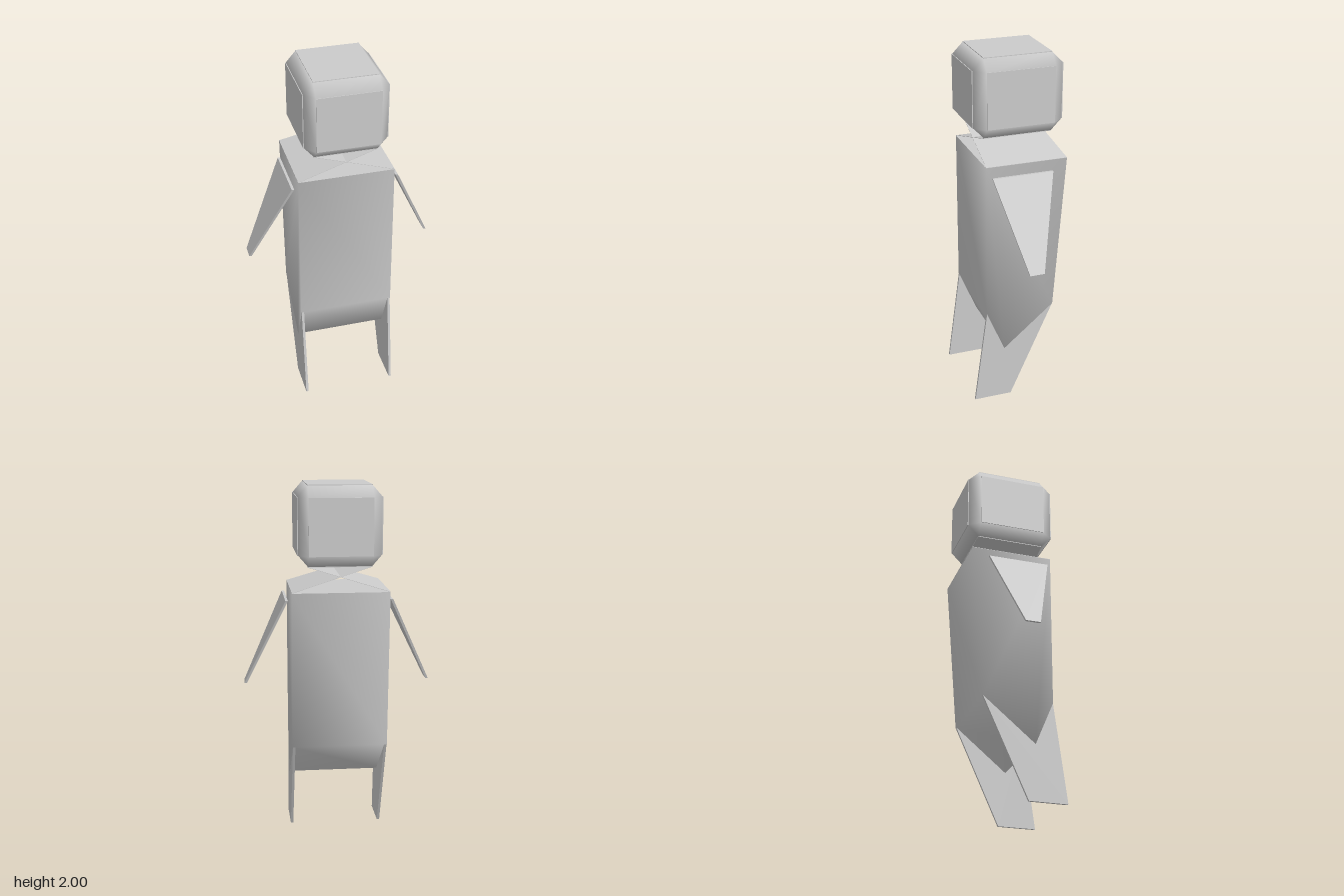
import * as THREE from 'three';
import { ConvexGeometry } from 'three/addons/geometries/ConvexGeometry.js';
import { mergeVertices } from 'three/addons/utils/BufferGeometryUtils.js';

const grey = new THREE.MeshStandardMaterial({ color: 0xcccccc, side: THREE.DoubleSide });
const v = (x, y, z) => new THREE.Vector3(x, y, z);

function add(parent, name, geometry) {
  const mesh = new THREE.Mesh(geometry, grey);
  mesh.name = name;
  parent.add(mesh);
  return mesh;
}

function smooth(geometry) {
  geometry.deleteAttribute('normal');
  const merged = mergeVertices(geometry, 1e-4);
  merged.computeVertexNormals();
  return merged;
}

// Four-cornered thin slab, thickened along the given offset
function plate(corners, offset) {
  return new ConvexGeometry(corners.flatMap(p => [p.clone(), p.clone().add(offset)]));
}

// Pentagon side profile carried across the width, smooth shaded
function bodyGeometry(halfWidth) {
  const profile = [[0.191, 1.43], [0.191, 0.55], [0.09, 0.31], [-0.2, 0.55], [-0.268, 1.43]];
  const pos = [], index = [];
  for (const x of [halfWidth, -halfWidth]) for (const [z, y] of profile) pos.push(x, y, z);
  for (let i = 0; i < 4; i++) index.push(i + 5, i + 6, i + 1, i + 5, i + 1, i);
  for (let i = 1; i < 4; i++) index.push(0, i, i + 1, 5, i + 6, i + 5);
  const g = new THREE.BufferGeometry();
  g.setAttribute('position', new THREE.Float32BufferAttribute(pos, 3));
  g.setIndex(index);
  g.computeVertexNormals();
  return g;
}

// Box with every edge and corner cut, plus a flat panel on each face
function buildHead() {
  const head = new THREE.Group();
  head.name = 'head';
  const outer = [0.231, 0.22, 0.254], inner = [0.174, 0.155, 0.19];
  const points = [];
  for (const sx of [-1, 1]) for (const sy of [-1, 1]) for (const sz of [-1, 1])
    for (let axis = 0; axis < 3; axis++) {
      const p = [sx, sy, sz].map((s, i) => s * (i === axis ? outer[i] - 0.004 : inner[i]));
      points.push(v(...p));
    }
  add(head, 'headShell', smooth(new ConvexGeometry(points)));
  for (let axis = 0; axis < 3; axis++) for (const s of [-1, 1]) {
    const size = inner.map((n, i) => (i === axis ? 0.004 : n * 2));
    const panel = add(head, 'facePanel', new THREE.BoxGeometry(...size));
    panel.position.setComponent(axis, s * (outer[axis] - 0.002));
  }
  head.position.set(0, 1.78, -0.019);
  return head;
}

export function createModel() {
  const model = new THREE.Group();
  model.name = 'blockFigure';
  const figure = new THREE.Group();
  figure.name = 'figure';
  figure.rotation.y = 0.45;
  model.add(figure);

  // Torso with a flat lid
  const hw = 0.266;
  add(figure, 'torso', bodyGeometry(hw));
  const lid = add(figure, 'torsoTop', new THREE.PlaneGeometry(hw * 2, 0.459).rotateX(-Math.PI / 2));
  lid.position.set(0, 1.43, -0.0385);

  figure.add(buildHead());

  for (const s of [1, -1]) {
    // Crossing neck sheets, each from one torso edge to the opposite head edge
    add(figure, 'neckSheet', plate([
      v(-s * hw, 1.43, 0.191), v(-s * hw, 1.43, -0.268),
      v(s * 0.174, 1.56, -0.209), v(s * 0.174, 1.56, 0.171),
    ], v(0, 0.002, 0)));

    // Tapered arm hanging outward
    add(figure, s > 0 ? 'leftArm' : 'rightArm', plate([
      v(s * 0.282, 1.375, 0.164), v(s * 0.282, 1.375, -0.178),
      v(s * 0.508, 0.89, -0.047), v(s * 0.508, 0.89, 0.035),
    ], v(s * 0.014, 0, 0)));

    // Flat leg leaning forward
    add(figure, s > 0 ? 'leftLeg' : 'rightLeg', plate([
      v(s * 0.25, 0.55, 0.191), v(s * 0.25, 0.55, -0.2),
      v(s * 0.25, 0, 0.05), v(s * 0.25, 0, 0.265),
    ], v(s * 0.014, 0, 0)));
  }
  return model;
}
